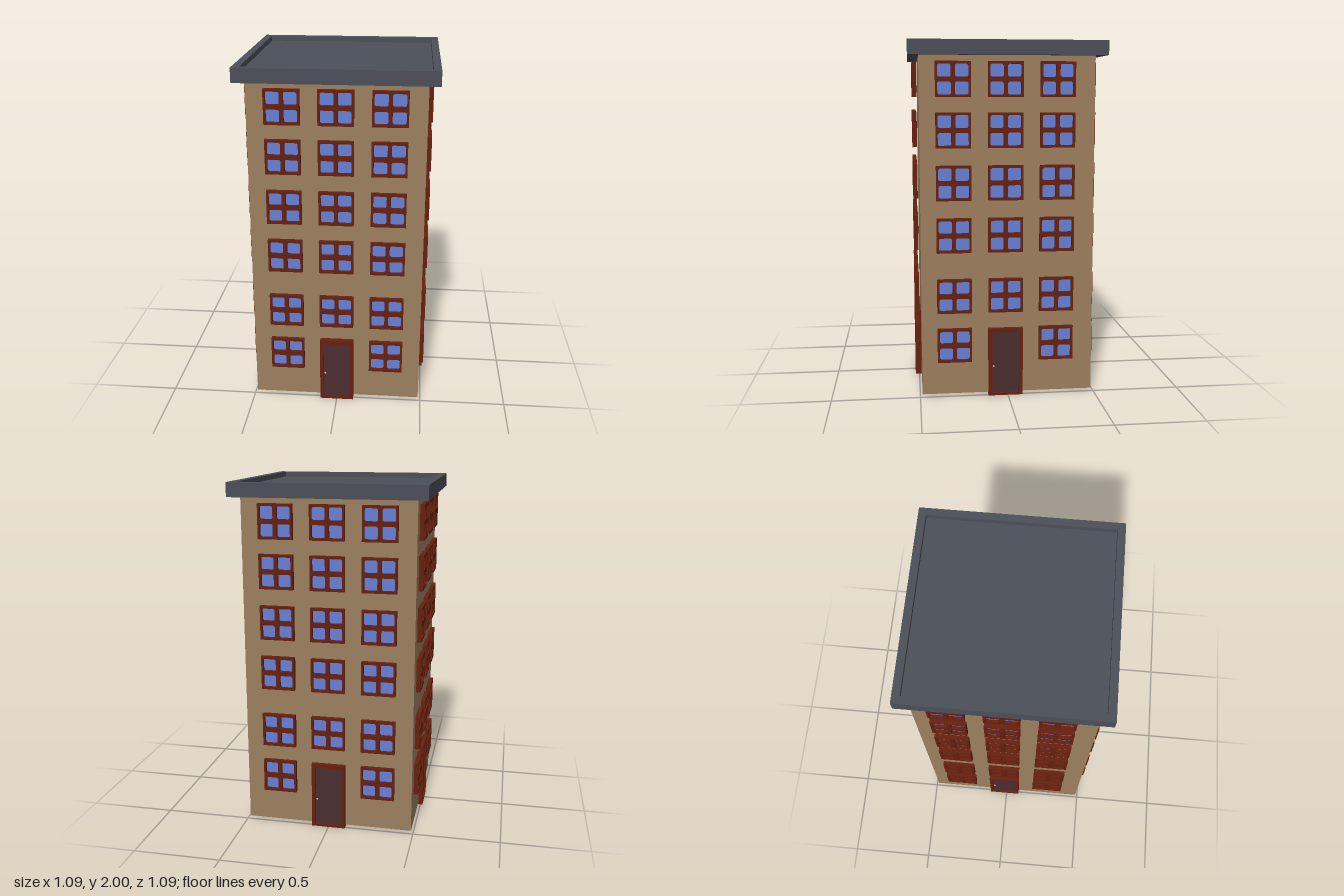
import * as THREE from 'three';

const mat = (name, color, side = THREE.FrontSide) => {
  const m = new THREE.MeshStandardMaterial({ color, side });
  m.name = name;
  return m;
};

const WALL = 0.487;      // distance of each wall from the centre
const FACE = 0.513;      // outer plane of the window and door frames
const FLOORS = [0.3, 0.585, 0.93, 1.223, 1.513, 1.79];
const COLUMNS = [-0.289, 0, 0.289];

// Adds a rectangle with small cut corners to a shape or path
function rect(path, x0, y0, x1, y1, c = 0) {
  const p = c
    ? [[x0 + c, y0], [x1 - c, y0], [x1, y0 + c], [x1, y1 - c], [x1 - c, y1], [x0 + c, y1], [x0, y1 - c], [x0, y0 + c]]
    : [[x0, y0], [x1, y0], [x1, y1], [x0, y1]];
  return path.setFromPoints(p.map(([x, y]) => new THREE.Vector2(x, y)));
}

function extrude(shape, depth) {
  return new THREE.ExtrudeGeometry(shape, { depth, bevelEnabled: false });
}

export function createModel() {
  const brick = mat('tan wall', 0x9c7f5e, THREE.DoubleSide);
  const wood = mat('red brown frame', 0x66200f);
  const glass = mat('blue glass', 0x667fd4);
  const doorMat = mat('dark door', 0x4a2d2f);
  const roofMat = mat('slate roof', 0x4b4f58);
  const metal = mat('knob metal', 0xb8b8b8);

  const building = new THREE.Group();
  building.name = 'building';
  const add = (parent, name, geo, material, x = 0, y = 0, z = 0) => {
    const mesh = new THREE.Mesh(geo, material);
    mesh.name = name;
    mesh.position.set(x, y, z);
    parent.add(mesh);
    return mesh;
  };

  // Shared window geometry: frame with four panes
  const h = 0.097;
  const frameShape = rect(new THREE.Shape(), -h, -h, h, h);
  for (const sx of [-1, 1]) for (const sy of [-1, 1]) {
    const xs = [sx * 0.011, sx * 0.085].sort((a, b) => a - b);
    const ys = [sy * 0.013, sy * 0.083].sort((a, b) => a - b);
    frameShape.holes.push(rect(new THREE.Path(), xs[0], ys[0], xs[1], ys[1], 0.007));
  }
  const frameGeo = extrude(frameShape, FACE - WALL - 0.001);
  const glassGeo = new THREE.PlaneGeometry(0.18, 0.18);

  // Shared door geometry: deep frame with threshold, panel and knob
  const doorShape = rect(new THREE.Shape(), -0.098, 0, 0.098, 0.393);
  doorShape.holes.push(rect(new THREE.Path(), -0.077, 0.013, 0.077, 0.371));
  const doorFrameGeo = extrude(doorShape, 0.079);
  const panelGeo = new THREE.BoxGeometry(0.154, 0.358, 0.012);
  const knobGeo = new THREE.SphereGeometry(0.006, 10, 8);
  const wallGeo = new THREE.PlaneGeometry(2 * WALL, 1.907);

  // Four facades, each with a door and seventeen windows
  ['front', 'left', 'back', 'right'].forEach((side, i) => {
    const facade = new THREE.Group();
    facade.name = side + 'Facade';
    facade.rotation.y = i * Math.PI / 2;
    building.add(facade);
    add(facade, 'wall', wallGeo, brick, 0, 0.9665, WALL);

    const fittings = new THREE.Group();
    fittings.name = 'windowsAndDoor';
    fittings.position.set(i % 2 ? -0.013 : 0, 0, i === 0 ? 0.01 : 0);
    facade.add(fittings);

    FLOORS.forEach((y, floor) => COLUMNS.forEach((x, col) => {
      if (floor === 0 && col === 1) return;
      const win = new THREE.Group();
      win.name = 'window';
      win.position.set(x, y, WALL + 0.001);
      add(win, 'windowFrame', frameGeo, wood);
      add(win, 'windowGlass', glassGeo, glass, 0, 0, 0.007);
      fittings.add(win);
    }));

    const door = new THREE.Group();
    door.name = 'door';
    add(door, 'doorFrame', doorFrameGeo, wood, 0, 0, FACE - 0.079);
    add(door, 'doorPanel', panelGeo, doorMat, 0, 0.192, WALL + 0.007);
    add(door, 'doorKnob', knobGeo, metal, -0.068, 0.17, WALL + 0.016);
    fittings.add(door);
  });

  // Flat roof slab with a raised rim
  const R = 0.547, inner = 0.505;
  add(building, 'roofSlab', new THREE.BoxGeometry(2 * R, 0.05, 2 * R), roofMat, 0, 1.945, 0);
  const rimShape = rect(new THREE.Shape(), -R, -R, R, R);
  rimShape.holes.push(rect(new THREE.Path(), -inner, -inner, inner, inner));
  add(building, 'roofRim', extrude(rimShape, 0.03).rotateX(-Math.PI / 2), roofMat, 0, 1.97, 0);

  return building;
}
